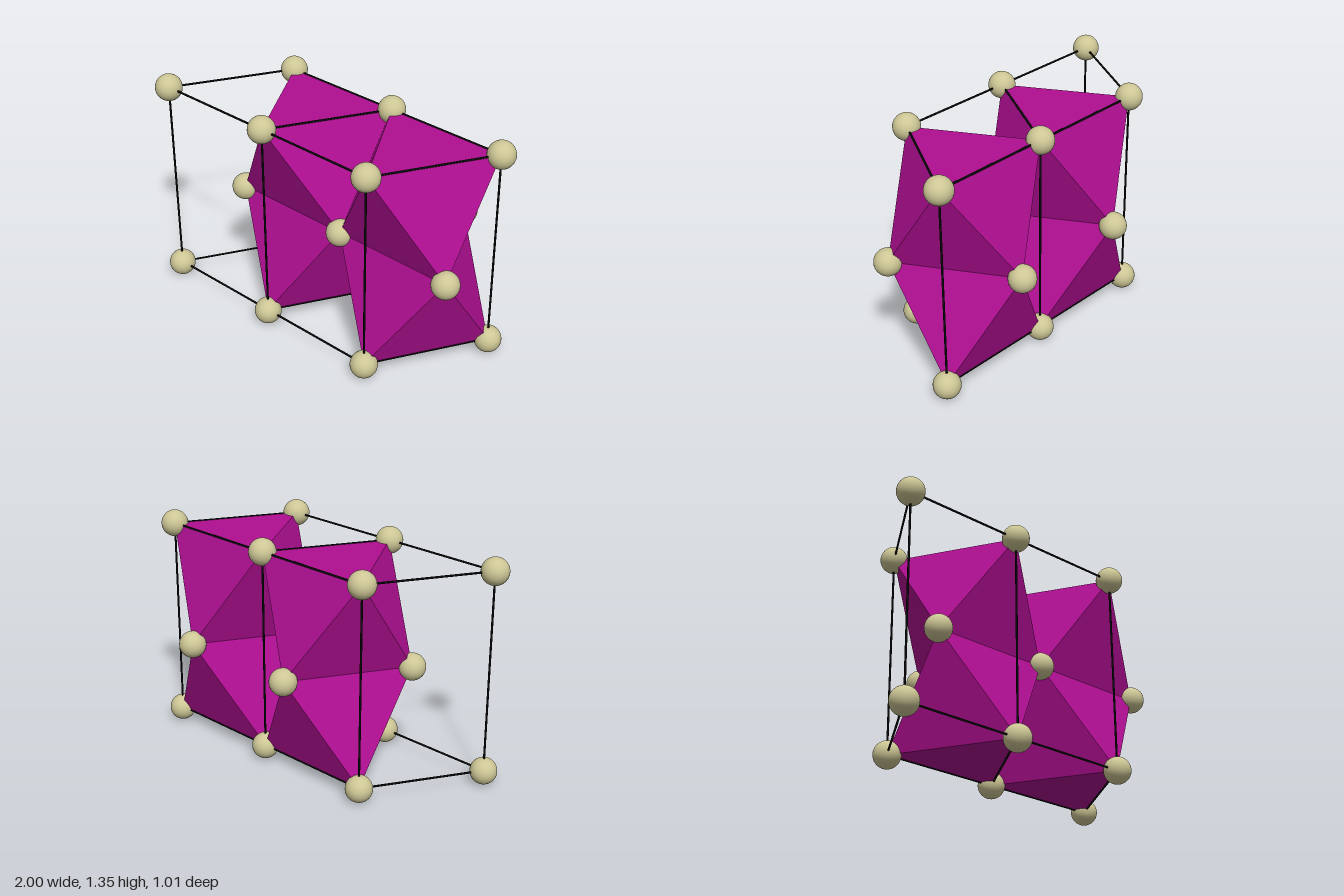
import * as THREE from 'three';
import { ConvexGeometry } from 'three/addons/geometries/ConvexGeometry.js';

export function createModel() {
  const model = new THREE.Group();
  model.name = 'crystalLattice';

  // Hexagonal lattice: a along x, layers stacked in y
  const R = 0.078, A = 0.7376, S = A / Math.sqrt(3);
  const BOTTOM = R, MID = 0.676, TOP = 1.274;
  const X0 = -1 + R;

  const atomMat = new THREE.MeshStandardMaterial({ color: 0xcdc695 });
  const solidMat = new THREE.MeshStandardMaterial({ color: 0xb00f92, flatShading: true });
  const edgeMat = new THREE.MeshStandardMaterial({ color: 0x080808 });

  const front = (i, y) => new THREE.Vector3(X0 + i * A, y, S);
  const back = (i, y) => new THREE.Vector3(X0 + (i + 0.5) * A, y, -S / 2);
  const midFront = (i) => new THREE.Vector3(X0 + (i + 0.5) * A, MID, S / 2);
  const midBack = (i) => new THREE.Vector3(X0 + (i + 1) * A, MID, -S);

  // Atoms
  const atomGeo = new THREE.SphereGeometry(R, 32, 20);
  const addAtom = (p) => {
    const m = new THREE.Mesh(atomGeo, atomMat);
    m.name = 'atom';
    m.position.copy(p);
    model.add(m);
  };
  for (let i = 0; i < 3; i++) {
    for (const y of [BOTTOM, TOP]) {
      addAtom(front(i, y));
      addAtom(back(i, y));
    }
    addAtom(midFront(i));
    if (i < 2) addAtom(midBack(i));
  }

  // Octahedra: an outer triangle joined to the inverted middle triangle
  for (let i = 0; i < 2; i++) {
    for (const y of [BOTTOM, TOP]) {
      const m = new THREE.Mesh(new ConvexGeometry([
        front(i + 1, y), back(i, y), back(i + 1, y),
        midFront(i), midFront(i + 1), midBack(i),
      ]), solidMat);
      m.name = 'octahedron';
      model.add(m);
    }
  }

  // Unit cell edges
  const addEdge = (a, b) => {
    const m = new THREE.Mesh(new THREE.CylinderGeometry(0.006, 0.006, a.distanceTo(b), 8), edgeMat);
    m.name = 'cellEdge';
    m.position.copy(a).lerp(b, 0.5);
    m.quaternion.setFromUnitVectors(new THREE.Vector3(0, 1, 0), b.clone().sub(a).normalize());
    model.add(m);
  };
  for (let i = 0; i < 3; i++) {
    for (const row of [front, back]) {
      addEdge(row(i, BOTTOM), row(i, TOP));
      if (i < 2) for (const y of [BOTTOM, TOP]) addEdge(row(i, y), row(i + 1, y));
    }
    for (const y of [BOTTOM, TOP]) addEdge(front(i, y), back(i, y));
  }

  return model;
}
